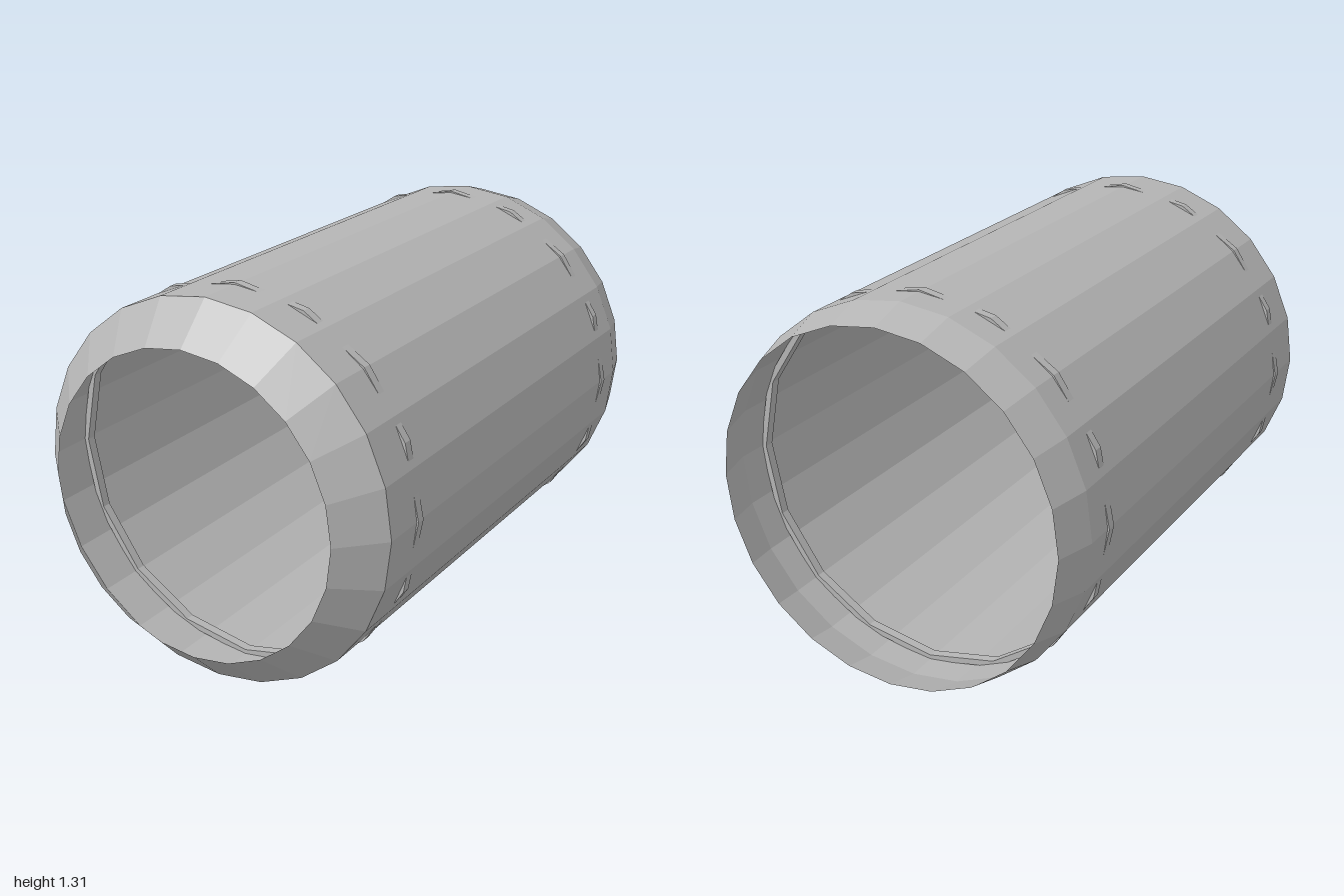
import * as THREE from 'three';

const CENTER_Y = 0.656;

// Revolves [radius, z] points around the z axis, with a corner at the top
function revolve(points, sides, material, name) {
  const profile = points.map(([r, z]) => new THREE.Vector2(r, z));
  const geometry = new THREE.LatheGeometry(profile, sides).rotateX(Math.PI / 2);
  const mesh = new THREE.Mesh(geometry, material);
  mesh.name = name;
  return mesh;
}

export function createModel() {
  const model = new THREE.Group();
  model.name = 'openBarrel';

  const metal = new THREE.MeshStandardMaterial({ color: 0xb4b4b4, flatShading: true, side: THREE.DoubleSide });
  metal.name = 'grey metal';

  const barrel = new THREE.Group();
  barrel.name = 'barrel';
  barrel.position.y = CENTER_Y;
  model.add(barrel);

  // Thin open shell: gentle taper at the back, steep taper at the front
  barrel.add(revolve([[0.61, -1], [0.65, -0.86], [0.65, 0.87], [0.52, 1]], 24, metal, 'shell'));

  // 16-sided hoops whose corners poke through the 24-sided shell
  const inner = 0.635, outer = 0.656, half = 0.016;
  for (const [name, z] of [['frontHoop', 0.7], ['backHoop', -0.74]]) {
    const section = [[inner, -half], [outer, -half], [outer, half], [inner, half], [inner, -half]];
    const hoop = revolve(section, 16, metal, name);
    hoop.position.z = z;
    barrel.add(hoop);
  }

  return model;
}
